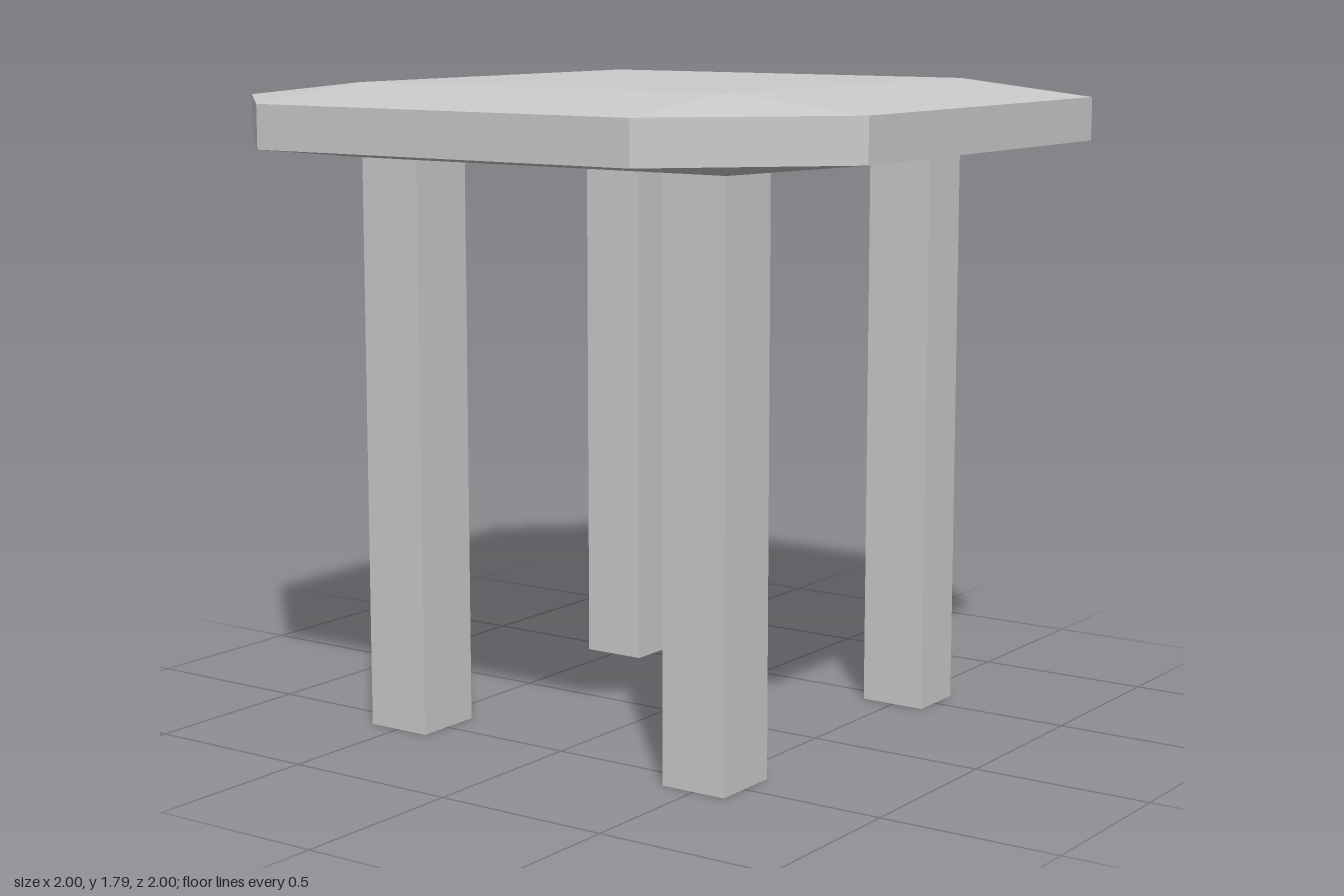
import * as THREE from 'three';
import { ConvexGeometry } from 'three/addons/geometries/ConvexGeometry.js';

export function createModel() {
  const model = new THREE.Group();
  model.name = 'table';
  const material = new THREE.MeshStandardMaterial({ color: 0xcccccc, flatShading: true });
  const signs = [-1, 1];
  const inner = 0.594; // half side of the flat middle square

  // Tabletop: clipped-corner slab, sloping gently from the middle square to the rim
  const points = [];
  for (const sx of signs) for (const sz of signs) {
    for (const y of [1.59, 1.793]) points.push(new THREE.Vector3(sx * inner, y, sz * inner));
    for (const y of [1.632, 1.75]) {
      points.push(new THREE.Vector3(sx, y, sz * inner));
      points.push(new THREE.Vector3(sx * inner, y, sz));
    }
  }
  const top = new THREE.Mesh(new ConvexGeometry(points), material);
  top.name = 'tabletop';
  model.add(top);

  // Legs: square posts under the corners of the middle square, front pair deeper
  const height = 1.595, width = 0.192;
  for (const sx of signs) for (const sz of signs) {
    const depth = sz > 0 ? 0.203 : 0.17;
    const leg = new THREE.Mesh(new THREE.BoxGeometry(width, height, depth), material);
    leg.name = (sz > 0 ? 'front' : 'back') + (sx > 0 ? 'Left' : 'Right') + 'Leg';
    leg.position.set(sx * (inner - width / 2), height / 2, sz * (inner - depth / 2));
    model.add(leg);
  }
  return model;
}
